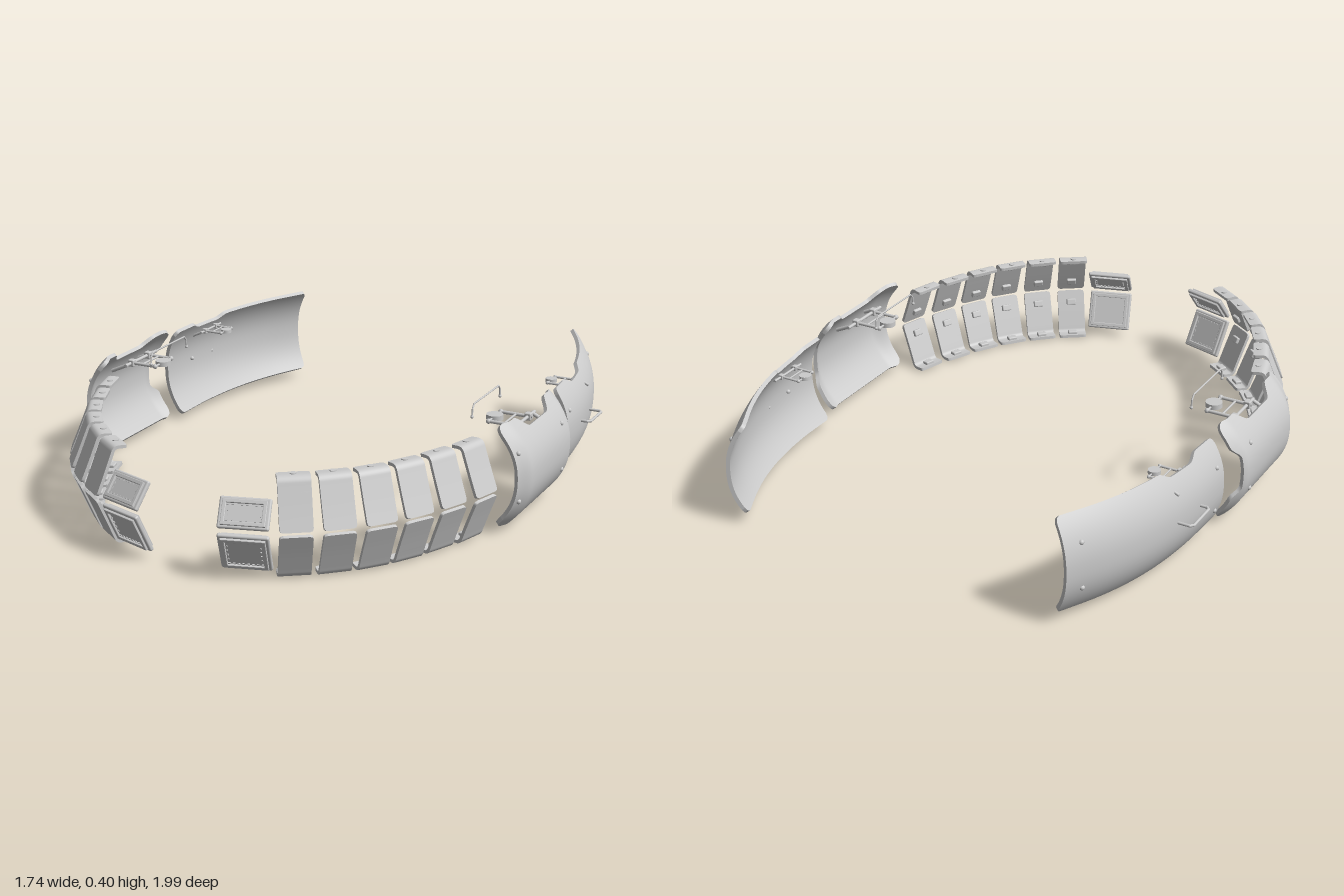
import * as THREE from 'three';
import { RoundedBoxGeometry } from 'three/addons/geometries/RoundedBoxGeometry.js';

const grey = new THREE.MeshStandardMaterial({ color: 0xcccccc });
const V = (x, y, z) => new THREE.Vector3(x, y, z);
const { lerp, smoothstep, clamp } = THREE.MathUtils;
const corner = (d, r) => (d < r ? r - Math.sqrt(Math.max(0, r * r - (r - d) ** 2)) : 0);

function add(parent, name, geometry, x = 0, y = 0, z = 0) {
  const mesh = new THREE.Mesh(geometry, grey);
  mesh.name = name;
  mesh.position.set(x, y, z);
  parent.add(mesh);
  return mesh;
}

// Closed thin shell: a subdivided box wrapped onto surface(u, v), with thickness inwards
function shell(surface, nu, nv, thickness) {
  const g = new THREE.BoxGeometry(1, 1, 1, nu, nv, 1);
  const pos = g.attributes.position;
  const ease = (t) => lerp(t, 0.5 - 0.5 * Math.cos(Math.PI * t), 0.7);
  const e = 0.004;
  for (let i = 0; i < pos.count; i++) {
    const u = ease(pos.getX(i) + 0.5), v = ease(pos.getY(i) + 0.5);
    const p = surface(u, v);
    if (pos.getZ(i) < 0) {
      const a = clamp(u, 0.02, 0.98), b = clamp(v, 0.02, 0.98);
      const du = surface(a + e, b).sub(surface(a - e, b));
      const dv = surface(a, b + e).sub(surface(a, b - e));
      p.addScaledVector(du.cross(dv).normalize(), -thickness);
    }
    pos.setXYZ(i, p.x, p.y, p.z);
  }
  g.computeVertexNormals();
  return g;
}

function rod(parent, name, a, b, r) {
  const d = b.clone().sub(a);
  const m = add(parent, name, new THREE.CylinderGeometry(r, r, d.length(), 10));
  m.position.copy(a).addScaledVector(d, 0.5);
  m.quaternion.setFromUnitVectors(V(0, 1, 0), d.normalize());
}

// Bent wire: rods joined by small balls
function wire(parent, name, pts, r, endR = r) {
  pts.forEach((p, i) => {
    const end = i === 0 || i === pts.length - 1;
    add(parent, name + 'Joint', new THREE.SphereGeometry(end ? endR : r, 10, 8), p.x, p.y, p.z);
    if (i) rod(parent, name, pts[i - 1], p, r);
  });
}

// Middle side panel, bowed outwards, with a top notch and a scalloped rear edge
function middleSurface(u, v) {
  const rear = -0.225 + 0.028 * (smoothstep(v, 0.2, 0.32) - smoothstep(v, 0.72, 0.86));
  const z = lerp(0.238, rear, u);
  const round = corner(Math.min(u, 1 - u) * 0.46, 0.035);
  const notch = 0.036 * (smoothstep(z, -0.14, -0.07) - smoothstep(z, 0.08, 0.14));
  const y = lerp(0.024 + round, 0.382 - notch - round, v);
  const curl = 0.03 * smoothstep(Math.abs(z), 0.17, 0.25);
  return V(0.868 - 0.085 * Math.abs((y - 0.2) / 0.18) ** 2.3 - curl, y, z);
}

// Rear side panel, swept inwards along a curved spine
const spine = new THREE.CatmullRomCurve3([
  V(0.825, 0, -0.275), V(0.815, 0, -0.45), V(0.79, 0, -0.61), V(0.755, 0, -0.74), V(0.708, 0, -0.86), V(0.637, 0, -1),
]);
function rearSurface(u, v) {
  const k = clamp(u, 0, 1), p = spine.getPointAt(k), t = spine.getTangentAt(k);
  const round = corner(Math.min(k, 1 - k) * 0.74, 0.018);
  const notch = 0.02 * (smoothstep(p.z, -0.6, -0.55) - smoothstep(p.z, -0.44, -0.38));
  const y = lerp(0.02 + 0.016 * k + round, 0.36 + 0.012 * k - notch - round, v);
  const drop = 0.062 * Math.abs((y - 0.198) / 0.172) ** 2.3;
  return V(p.x + t.z * drop, y, p.z - t.x * drop);
}

// Bracket behind a panel: twin arms, cross bars and a round pad
function bracket(parent, x, y, z, s) {
  const g = new THREE.Group();
  g.name = 'bracket';
  g.position.set(x, y, z);
  g.scale.setScalar(s);
  parent.add(g);
  add(g, 'pad', new THREE.CylinderGeometry(0.029, 0.029, 0.018, 24));
  rod(g, 'padBar', V(0, 0, -0.06), V(0, 0, 0.06), 0.004);
  rod(g, 'crossBar', V(0.1, 0, -0.11), V(0.1, 0, 0.1), 0.006);
  rod(g, 'middleBar', V(0.055, 0, -0.055), V(0.055, 0, 0.055), 0.004);
  for (const k of [-1, 1]) {
    rod(g, 'arm', V(0, 0, k * 0.055), V(0.115, 0, k * 0.055), 0.006);
    rod(g, 'brace', V(0.1, 0, k * 0.09), V(0.165, -0.03, k * 0.09), 0.007);
    add(g, 'lug', new RoundedBoxGeometry(0.024, 0.026, 0.024, 2, 0.004), 0.1, 0, k * 0.055);
    add(g, 'armEnd', new THREE.SphereGeometry(0.009, 10, 8), 0, 0, k * 0.055);
  }
}

// Sloping tile with a lip folded inwards; dir +1 is the upper row, -1 the lower row
const tilePath = new THREE.SplineCurve([
  [0, 0.008], [-0.026, 0.07], [-0.052, 0.135], [-0.062, 0.158], [-0.078, 0.168], [-0.114, 0.166],
].map(([r, y]) => new THREE.Vector2(r, y)));
const tileGeometry = (dir) => shell((u, v) => {
  const t = clamp(dir > 0 ? v : 1 - v, 0, 1);
  const p = tilePath.getPoint(t);
  const half = 0.053 - corner(Math.min(t, 1 - t) * 0.24, 0.012);
  return V(lerp(-half, half, u), 0.173 + dir * p.y, p.x);
}, 8, 28, 0.011);
const tileShapes = { 1: tileGeometry(1), '-1': tileGeometry(-1) };

function tilePair(parent) {
  for (const dir of [1, -1]) {
    add(parent, dir > 0 ? 'upperTile' : 'lowerTile', tileShapes[dir]);
    const clip = add(parent, 'tileClip', new RoundedBoxGeometry(0.036, 0.024, 0.016, 2, 0.004), 0, 0.173 + dir * 0.045, -0.031);
    clip.rotation.x = -dir * 0.38;
    add(parent, 'lipBlock', new RoundedBoxGeometry(0.036, 0.014, 0.026, 2, 0.004), 0, 0.173 + dir * 0.153, -0.09);
    add(parent, 'lipBolt', new THREE.CylinderGeometry(0.011, 0.011, 0.01, 12), 0, 0.173 + dir * 0.166, -0.094);
  }
}

function frameGeometry(w, h, band) {
  const rect = (path, a, b) => path.moveTo(-a, -b).lineTo(a, -b).lineTo(a, b).lineTo(-a, b).closePath();
  const shape = rect(new THREE.Shape(), w / 2, h / 2);
  shape.holes.push(rect(new THREE.Path(), w / 2 - band, h / 2 - band));
  return new THREE.ExtrudeGeometry(shape, { depth: 0.006, bevelSize: 0.002, bevelThickness: 0.002, bevelSegments: 2 });
}

// Framed end plate, tilted between its outer edge and its inner edge
function endPlate(parent, name, y0, y1, inset) {
  const g = new THREE.Group();
  const h = Math.hypot(y1 - y0, inset), w = 0.165;
  g.name = name;
  g.position.set(0, (y0 + y1) / 2, -inset / 2 - 0.008);
  g.rotation.x = -Math.atan2(inset, Math.abs(y1 - y0)) * Math.sign(y1 - y0);
  parent.add(g);
  add(g, 'plate', new RoundedBoxGeometry(w, h, 0.016, 3, 0.006));
  for (const side of [1, -1]) {
    add(g, 'frame', frameGeometry(w - 0.026, h - 0.022, 0.009), 0, 0, side > 0 ? 0.008 : -0.014);
    const a = w / 2 - 0.029, b = h / 2 - 0.026;
    for (let i = 0; i < 8; i++) for (const k of [-1, 1])
      add(g, 'rivet', new THREE.BoxGeometry(0.008, 0.004, 0.005), lerp(-a, a, i / 7), k * b, side * 0.009);
    const rows = Math.round(b / 0.009);
    for (let i = 1; i < rows; i++) for (const k of [-1, 1])
      add(g, 'rivet', new THREE.BoxGeometry(0.004, 0.007, 0.005), k * a, lerp(-b, b, i / rows), side * 0.009);
  }
}

function buildSide(name) {
  const side = new THREE.Group();
  side.name = name;
  add(side, 'middlePanel', shell(middleSurface, 64, 30, 0.014));
  add(side, 'rearPanel', shell(rearSurface, 72, 28, 0.014));

  // Panel bolts
  const bolt = (p) => add(side, 'panelBolt', new THREE.SphereGeometry(0.009, 12, 8), p.x - 0.002, p.y, p.z);
  for (const v of [0.28, 0.75]) {
    for (const u of [0.05, 0.84]) bolt(middleSurface(u, v));
    for (const u of [0.05, 0.915]) bolt(rearSurface(u, v));
  }

  // Grab handle on the rear panel and the guard wire by the middle panel
  wire(side, 'grabHandle', [V(0.8, 0.2, -0.435), V(0.838, 0.2, -0.435), V(0.848, 0.2, -0.446),
    V(0.848, 0.2, -0.554), V(0.838, 0.2, -0.565), V(0.79, 0.2, -0.565)], 0.005, 0.008);
  wire(side, 'guardWire', [V(0.628, 0.358, 0.128), V(0.628, 0.385, 0.125), V(0.628, 0.4, 0.112),
    V(0.628, 0.4, -0.102), V(0.628, 0.385, -0.115), V(0.628, 0.358, -0.118)], 0.003, 0.006);
  bracket(side, 0.658, 0.325, 0, 1);
  bracket(side, 0.676, 0.315, -0.492, 0.72);

  // Front arc: x, z of each tile centre and the direction it faces in degrees
  const tiles = [[0.722, 0.322, 16], [0.67, 0.45, 23], [0.612, 0.572, 30], [0.54, 0.68, 38],
    [0.45, 0.773, 47], [0.347, 0.853, 55], [0.213, 0.925, 73]];
  tiles.forEach(([x, z, deg], i) => {
    const a = THREE.MathUtils.degToRad(deg), end = i === tiles.length - 1;
    const out = end ? 0.046 : 0.056;
    const g = new THREE.Group();
    g.name = end ? 'endPiece' : 'tilePair';
    g.position.set(x + Math.cos(a) * out, 0, z + Math.sin(a) * out);
    g.rotation.y = Math.PI / 2 - a;
    side.add(g);
    if (end) {
      endPlate(g, 'upperEndPlate', 0.185, 0.268, 0.06);
      endPlate(g, 'lowerEndPlate', 0.166, 0.032, 0.062);
    } else tilePair(g);
  });
  return side;
}

export function createModel() {
  const model = new THREE.Group();
  model.name = 'panelRing';
  const left = buildSide('leftSide');
  const right = buildSide('rightSide');
  right.scale.x = -1;
  model.add(left, right);
  return model;
}
